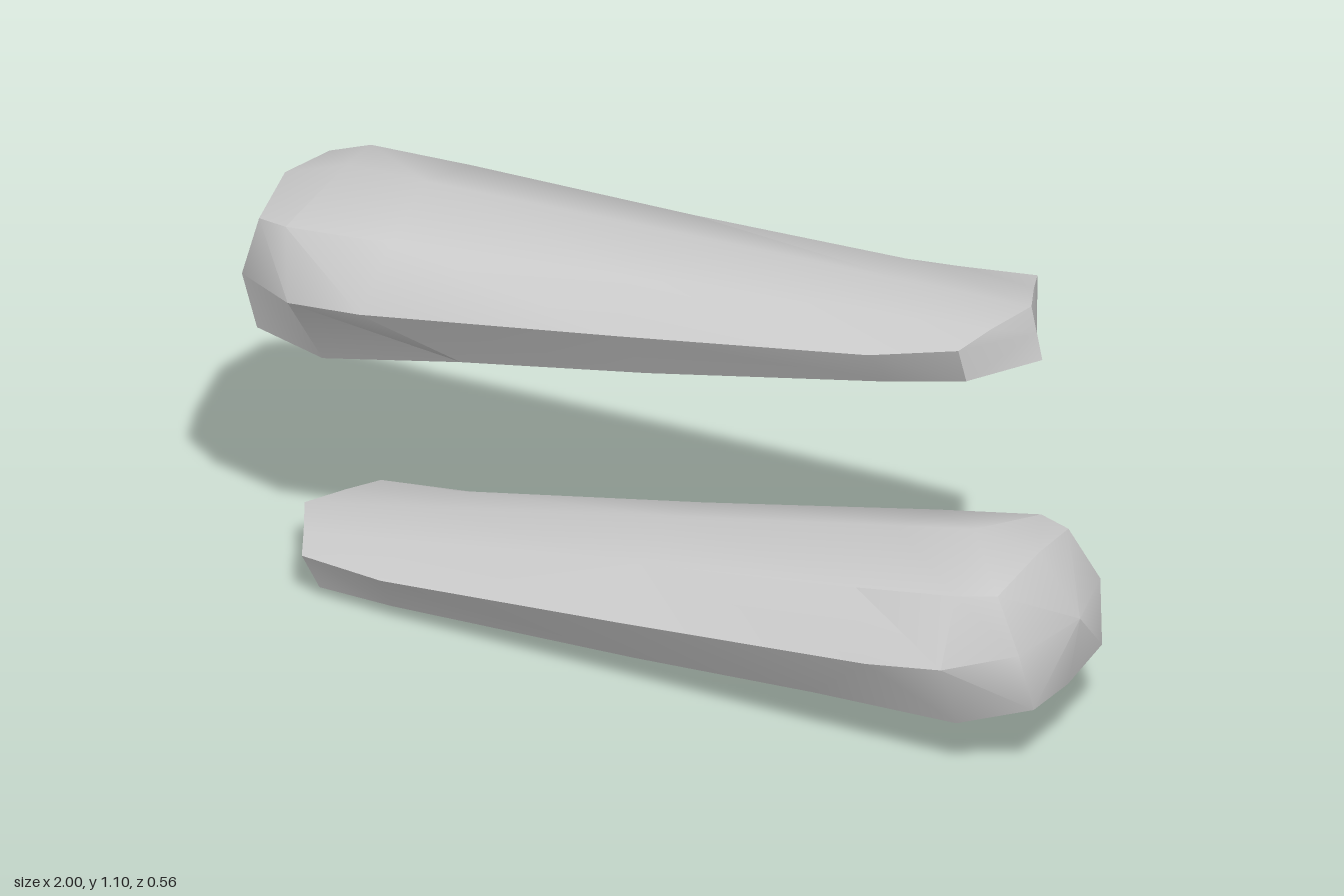
import * as THREE from 'three';
import { toCreasedNormals } from 'three/addons/utils/BufferGeometryUtils.js';

// Half cross-sections from narrow to wide end:
// crown, shoulder, side ridge, lower corner, keel, each as [x, y, z]
const SECTIONS = [
  [[-0.9, 0.13, 0], [-0.85, 0.125, 0.1], [-0.81, 0.115, 0.185], [-0.785, 0.025, 0.15], [-0.89, 0, 0]],
  [[-0.6, 0.2, 0], [-0.6, 0.178, 0.12], [-0.6, 0.125, 0.217], [-0.6, 0.035, 0.165], [-0.6, 0.017, 0]],
  [[0, 0.337, 0], [0, 0.295, 0.15], [0, 0.2, 0.252], [0, 0.075, 0.18], [0, 0.046, 0]],
  [[0.55, 0.462, 0], [0.55, 0.405, 0.19], [0.62, 0.278, 0.28], [0.45, 0.12, 0.2], [0.5, 0.07, 0]],
  [[0.74, 0.505, 0], [0.8, 0.455, 0.2], [0.8, 0.305, 0.27], [0.8, 0.135, 0.197], [0.8, 0.085, 0]],
  [[0.9, 0.49, 0], [0.885, 0.46, 0.165], [0.95, 0.34, 0.19], [0.97, 0.195, 0.16], [0.97, 0.178, 0]],
];

// Loft the mirrored sections and close both ends with fans
function loftGeometry() {
  const rings = SECTIONS.map((half) => [
    ...half,
    ...half.slice(1, 4).reverse().map(([x, y, z]) => [x, y, -z]),
  ]);
  const n = rings[0].length;
  const last = rings.length - 1;
  const index = [];
  const narrowCentre = rings.length * n;
  const wideCentre = narrowCentre + 1;

  for (let j = 0; j < n; j++) {
    const k = (j + 1) % n;
    for (let i = 0; i < last; i++) {
      const a = i * n + j, b = i * n + k;
      index.push(a, b, b + n, a, b + n, a + n);
    }
    index.push(narrowCentre, k, j);
    index.push(wideCentre, last * n + j, last * n + k);
  }

  const points = [...rings.flat(), [-0.895, 0.066, 0], [1, 0.35, 0]];
  const geometry = new THREE.BufferGeometry();
  geometry.setAttribute('position', new THREE.Float32BufferAttribute(points.flat(), 3));
  geometry.setIndex(index);
  return toCreasedNormals(geometry, 0.75);
}

export function createModel() {
  const model = new THREE.Group();
  model.name = 'taperedPair';
  const geometry = loftGeometry();
  const material = new THREE.MeshStandardMaterial({ color: 0xcccccc });

  // Lower piece, wide end to the left
  const lower = new THREE.Mesh(geometry, material);
  lower.name = 'lowerTaperedBody';
  model.add(lower);

  // Upper piece, turned end for end and tilted the other way
  const turned = new THREE.Mesh(geometry, material);
  turned.name = 'upperTaperedBody';
  turned.rotation.y = Math.PI;
  const upper = new THREE.Group();
  upper.name = 'upperTilt';
  upper.rotation.z = THREE.MathUtils.degToRad(16.2);
  upper.position.set(0.053, 0.726, 0);
  upper.add(turned);
  model.add(upper);

  return model;
}
